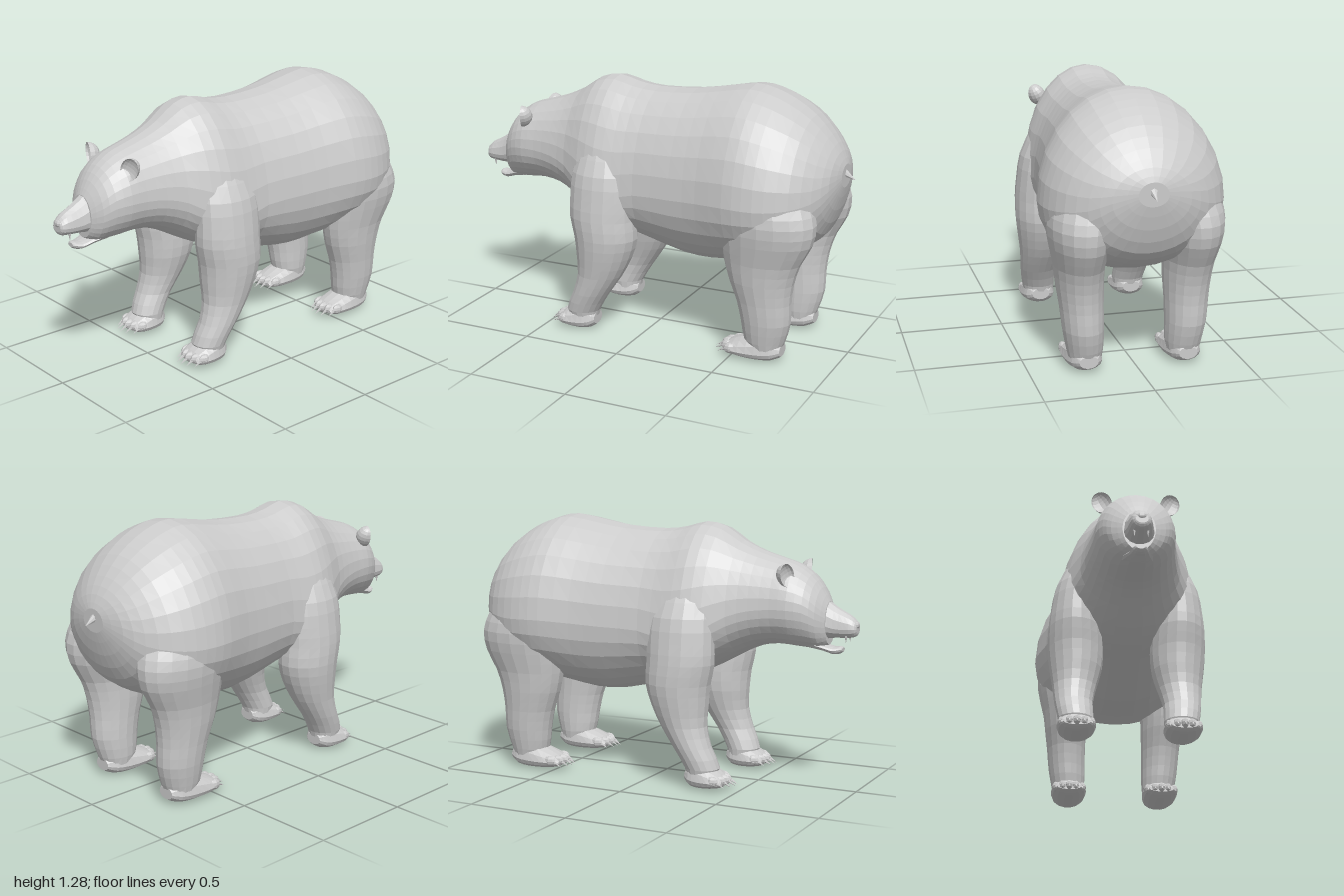
import * as THREE from 'three';

const material = new THREE.MeshStandardMaterial({ color: 0xcccccc, flatShading: true, side: THREE.DoubleSide });

function mesh(name, geometry) {
  const m = new THREE.Mesh(geometry, material);
  m.name = name;
  return m;
}

// Smooth extra rows between the given cross-section rows
function refine(rows, steps) {
  const out = [];
  for (let i = 0; i < rows.length - 1; i++) {
    const p0 = rows[Math.max(i - 1, 0)], p1 = rows[i], p2 = rows[i + 1], p3 = rows[Math.min(i + 2, rows.length - 1)];
    for (let s = 0; s < steps; s++) {
      const t = s / steps;
      out.push(p1.map((b, k) => b + 0.5 * t * (p2[k] - p0[k] + t * (2 * p0[k] - 5 * b + 4 * p2[k] - p3[k]
        + t * (3 * (b - p2[k]) + p3[k] - p0[k])))));
    }
  }
  out.push(rows[rows.length - 1]);
  return out;
}

// Closed skin through rings of equal length, capped at both ends
function loft(rings) {
  const n = rings[0].length, pos = [], idx = [];
  rings.forEach((r) => r.forEach((p) => pos.push(...p)));
  for (let i = 0; i < rings.length - 1; i++) {
    for (let j = 0; j < n; j++) {
      const a = i * n + j, b = i * n + (j + 1) % n;
      idx.push(a, b, b + n, a, b + n, a + n);
    }
  }
  [0, rings.length - 1].forEach((r) => {
    const c = pos.length / 3;
    for (let k = 0; k < 3; k++) pos.push(rings[r].reduce((s, p) => s + p[k], 0) / n);
    for (let j = 0; j < n; j++) {
      const a = r * n + j, b = r * n + (j + 1) % n;
      if (r) idx.push(a, b, c); else idx.push(b, a, c);
    }
  });
  const g = new THREE.BufferGeometry();
  g.setAttribute('position', new THREE.Float32BufferAttribute(pos, 3));
  g.setIndex(idx);
  g.computeVertexNormals();
  return g;
}

// Rows along z: [z, top, bottom, height of widest point, half width]
function loftZ(rows, sides, cx = 0, steps = 2) {
  return loft(refine(rows, steps).map(([z, top, bottom, mid, hw]) => Array.from({ length: sides }, (_, j) => {
    const a = (j / sides) * Math.PI * 2, s = Math.sin(a);
    return [cx + hw * Math.cos(a), mid + s * (s > 0 ? top - mid : mid - bottom), z];
  })));
}

// Rows going up: [y, centre x, centre z, radius x, radius z]
function loftY(rows, sides, side) {
  return loft(refine(rows, 2).map(([y, cx, cz, rx, rz]) => Array.from({ length: sides }, (_, j) => {
    const a = (j / sides) * Math.PI * 2;
    return [side * cx + rx * Math.cos(a), y, cz - rz * Math.sin(a)];
  })));
}

const bodyRows = [
  [-0.955, 0.94, 0.83, 0.88, 0.07], [-0.93, 1.0, 0.72, 0.85, 0.18], [-0.88, 1.075, 0.6, 0.81, 0.275],
  [-0.8, 1.16, 0.53, 0.79, 0.36], [-0.7, 1.225, 0.48, 0.78, 0.41], [-0.6, 1.265, 0.45, 0.78, 0.428],
  [-0.5, 1.28, 0.43, 0.78, 0.42], [-0.35, 1.255, 0.405, 0.77, 0.38], [-0.2, 1.23, 0.41, 0.76, 0.352],
  [0, 1.22, 0.46, 0.75, 0.325], [0.12, 1.235, 0.5, 0.72, 0.33], [0.22, 1.26, 0.53, 0.72, 0.33],
  [0.32, 1.24, 0.575, 0.77, 0.295], [0.42, 1.175, 0.63, 0.83, 0.24], [0.52, 1.13, 0.675, 0.86, 0.21],
  [0.62, 1.1, 0.69, 0.87, 0.192], [0.7, 1.075, 0.685, 0.87, 0.184], [0.77, 1.03, 0.68, 0.86, 0.16],
  [0.82, 0.97, 0.68, 0.83, 0.125], [0.855, 0.905, 0.7, 0.81, 0.075],
];

const frontLegRows = [
  [0.03, 0.24, 0.3, 0.07, 0.06], [0.1, 0.245, 0.312, 0.083, 0.085], [0.2, 0.255, 0.262, 0.09, 0.094],
  [0.3, 0.25, 0.215, 0.105, 0.115], [0.4, 0.245, 0.192, 0.125, 0.143], [0.5, 0.247, 0.182, 0.134, 0.163],
  [0.6, 0.25, 0.195, 0.13, 0.172], [0.7, 0.25, 0.195, 0.12, 0.172], [0.82, 0.235, 0.195, 0.115, 0.165],
  [0.95, 0.19, 0.2, 0.1, 0.13],
];

const hindLegRows = [
  [0.03, 0.235, -0.67, 0.07, 0.06], [0.1, 0.237, -0.66, 0.085, 0.1], [0.2, 0.245, -0.665, 0.095, 0.123],
  [0.3, 0.25, -0.655, 0.1, 0.135], [0.4, 0.255, -0.642, 0.108, 0.16], [0.5, 0.26, -0.645, 0.115, 0.188],
  [0.6, 0.262, -0.665, 0.135, 0.222], [0.7, 0.26, -0.67, 0.15, 0.232], [0.8, 0.24, -0.66, 0.15, 0.21],
  [0.95, 0.2, -0.65, 0.12, 0.15],
];

// Foot rows along its length: [0..1 heel to toe, top, bottom, mid, half width]
const footRows = [
  [0, 0.09, 0.03, 0.06, 0.045], [0.15, 0.13, 0.008, 0.05, 0.072], [0.4, 0.135, 0.002, 0.045, 0.086],
  [0.7, 0.105, 0.006, 0.045, 0.09], [0.9, 0.08, 0.015, 0.045, 0.08], [1, 0.06, 0.028, 0.042, 0.06],
];

function makePaw(name, cx, heel, length) {
  const paw = new THREE.Group();
  paw.name = name;
  paw.add(mesh('foot', loftZ(footRows.map(([t, ...r]) => [heel + t * length, ...r]), 14, cx)));
  for (let i = -2; i <= 2; i++) {
    const x = cx + i * 0.034, z = heel + length - 0.012 - 0.008 * i * i;
    const toe = mesh('toe', new THREE.SphereGeometry(1, 8, 6));
    toe.scale.set(0.02, 0.026, 0.035);
    toe.position.set(x, 0.052, z);
    const claw = mesh('claw', new THREE.ConeGeometry(0.009, 0.055, 5));
    claw.rotation.x = Math.PI / 2 + 0.5;
    claw.position.set(x, 0.04, z + 0.042);
    paw.add(toe, claw);
  }
  return paw;
}

// Cupped ear: the front half of a sphere is pushed inwards
function makeEar(side) {
  const g = new THREE.SphereGeometry(1, 14, 10);
  const p = g.attributes.position;
  for (let i = 0; i < p.count; i++) if (p.getZ(i) > 0) p.setZ(i, p.getZ(i) * -0.45);
  g.scale(0.046, 0.058, 0.055);
  g.computeVertexNormals();
  const ear = mesh('ear', g);
  ear.position.set(side * 0.16, 1.03, 0.7);
  ear.rotation.set(0, side * 0.35, side * -0.5);
  return ear;
}

export function createModel() {
  const bear = new THREE.Group();
  bear.name = 'bear';
  bear.add(mesh('bodyAndHead', loftZ(bodyRows, 28)));

  // Muzzle, nose and open lower jaw
  bear.add(mesh('muzzle', loftZ([
    [0.8, 0.95, 0.71, 0.82, 0.085], [0.86, 0.9, 0.73, 0.79, 0.068], [0.91, 0.868, 0.735, 0.78, 0.058],
    [0.96, 0.842, 0.738, 0.78, 0.05], [0.985, 0.82, 0.745, 0.78, 0.04], [0.993, 0.805, 0.76, 0.78, 0.028],
  ], 14)));
  const nose = mesh('nose', new THREE.SphereGeometry(1, 10, 7));
  nose.scale.set(0.034, 0.022, 0.025);
  nose.position.set(0, 0.798, 0.975);
  bear.add(nose);
  bear.add(mesh('lowerJaw', loftZ([
    [0.76, 0.74, 0.682, 0.71, 0.08], [0.83, 0.705, 0.67, 0.69, 0.058], [0.88, 0.692, 0.655, 0.675, 0.046],
    [0.91, 0.695, 0.66, 0.68, 0.034], [0.923, 0.69, 0.67, 0.68, 0.02],
  ], 12)));

  // Tail
  const tail = mesh('tail', new THREE.ConeGeometry(0.035, 0.11, 8));
  tail.rotation.x = -Math.PI / 2 - 0.5;
  tail.position.set(0, 0.893, -0.952);
  bear.add(tail);

  for (const side of [1, -1]) {
    const label = side > 0 ? 'left' : 'right';
    bear.add(makeEar(side));
    const fang = mesh('fang', new THREE.ConeGeometry(0.008, 0.035, 5));
    fang.rotation.x = Math.PI;
    fang.position.set(side * 0.03, 0.732, 0.945);
    bear.add(fang);
    bear.add(mesh(label + 'FrontLeg', loftY(frontLegRows, 18, side)));
    bear.add(mesh(label + 'HindLeg', loftY(hindLegRows, 18, side)));
    bear.add(makePaw(label + 'FrontPaw', side * 0.245, 0.235, 0.2));
    bear.add(makePaw(label + 'HindPaw', side * 0.237, -0.75, 0.285));
  }
  return bear;
}
